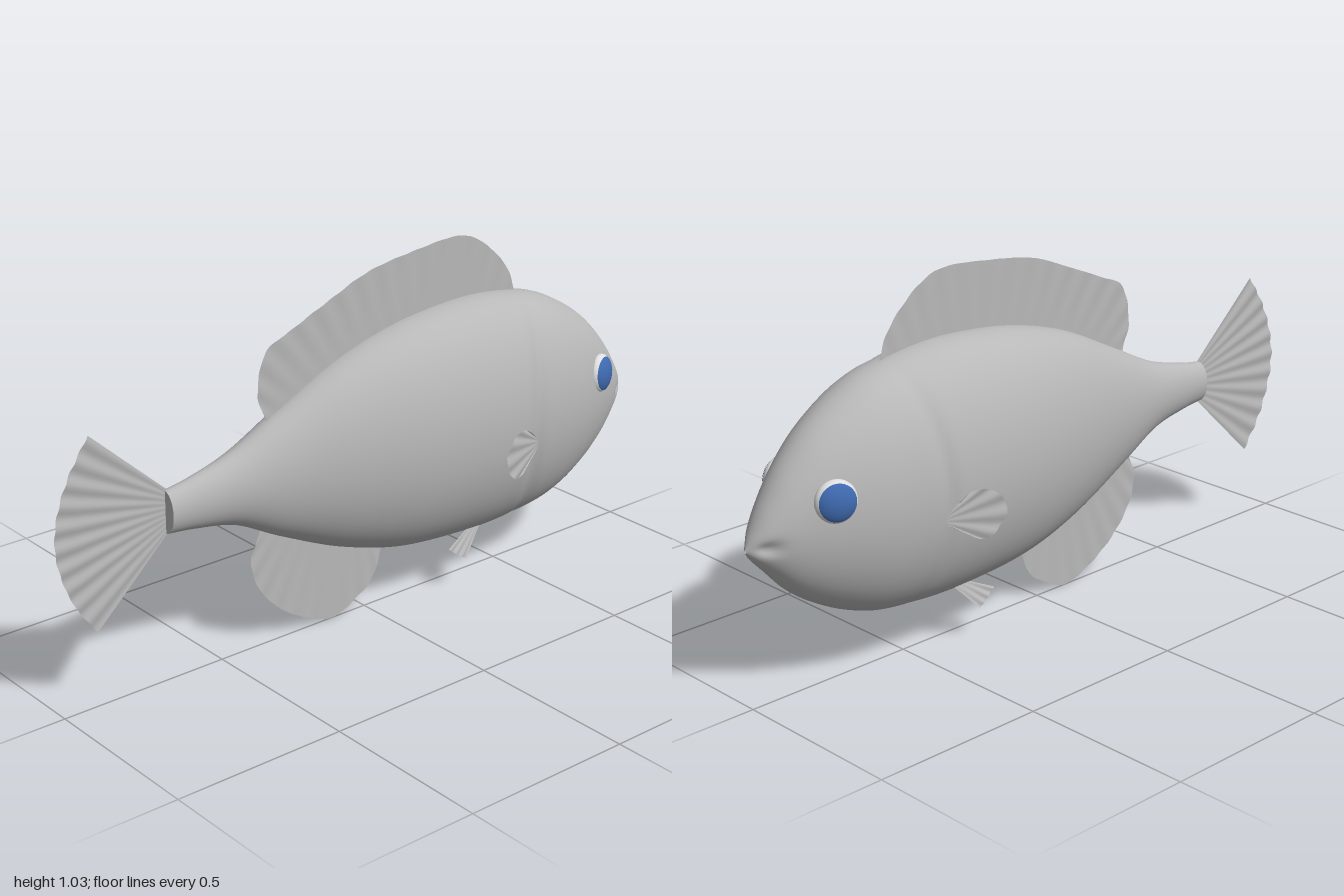
import * as THREE from 'three';

const grey = new THREE.MeshStandardMaterial({ color: 0xb8b8b8, side: THREE.DoubleSide });
grey.name = 'scale grey';
const white = new THREE.MeshStandardMaterial({ color: 0xdedede });
white.name = 'eye white';
const blue = new THREE.MeshStandardMaterial({ color: 0x3f6ab0 });
blue.name = 'iris blue';

function mesh(name, geometry, material, parent) {
  const m = new THREE.Mesh(geometry, material);
  m.name = name;
  parent.add(m);
  return m;
}

function indexed(positions, index) {
  const g = new THREE.BufferGeometry();
  g.setAttribute('position', new THREE.Float32BufferAttribute(positions, 3));
  g.setIndex(index);
  g.computeVertexNormals();
  return g;
}

// Body stations: x, top, bottom, half width
const stations = [
  [-0.665, 0.545, 0.425, 0.036], [-0.58, 0.56, 0.415, 0.042], [-0.45, 0.597, 0.387, 0.06],
  [-0.3, 0.67, 0.31, 0.09], [-0.1, 0.765, 0.22, 0.14], [0.1, 0.822, 0.163, 0.178],
  [0.3, 0.845, 0.144, 0.194], [0.45, 0.842, 0.142, 0.192], [0.6, 0.815, 0.156, 0.182],
  [0.7, 0.773, 0.185, 0.164], [0.8, 0.708, 0.235, 0.13], [0.88, 0.629, 0.293, 0.094],
  [0.94, 0.546, 0.357, 0.061], [0.98, 0.477, 0.4, 0.031], [1, 0.437, 0.428, 0.004],
];

const bump = (d, width) => Math.exp(-((d / width) ** 2));

function bodyGeometry() {
  const [top, bottom, width] = [1, 2, 3].map(
    k => new THREE.SplineCurve(stations.map(s => new THREE.Vector2(s[0], s[k]))));
  const rings = 150, sides = 56, pos = [], index = [];
  for (let i = 0; i <= rings; i++) {
    const t = i / rings, x = top.getPoint(t).x;
    const hi = top.getPoint(t).y, lo = bottom.getPoint(t).y, w = width.getPoint(t).y;
    for (let j = 0; j < sides; j++) {
      const a = j / sides * Math.PI * 2;
      const y = (hi + lo) / 2 + (hi - lo) / 2 * Math.cos(a);
      // gill groove and mouth crease
      const gill = 0.055 * bump(x - 0.485 - 0.4 * (y - 0.43) ** 2, 0.022);
      const mouth = 0.3 * bump(y - 0.44, 0.016) * bump(x - 0.965, 0.03);
      pos.push(x, y, w * Math.sin(a) * (1 - gill - mouth));
      if (i < rings) {
        const n = (j + 1) % sides, p = i * sides;
        index.push(p + j, p + n, p + sides + j, p + n, p + sides + n, p + sides + j);
      }
    }
  }
  return indexed(pos, index);
}

// Thin rayed sheet between a root curve and an edge curve
function finGeometry(root, edge, rays, ripple) {
  const curve = pts => new THREE.CatmullRomCurve3(
    pts.map(p => new THREE.Vector3(p[0], p[1], p[2] || 0)), false, 'centripetal');
  const a = curve(root), b = curve(edge), nu = rays * 6, nv = 6, pos = [], index = [];
  for (let i = 0; i <= nu; i++) {
    const u = i / nu, p = a.getPointAt(u), q = b.getPointAt(u);
    for (let j = 0; j <= nv; j++) {
      const v = p.clone().lerp(q, j / nv);
      pos.push(v.x, v.y, v.z + ripple * Math.sin(u * rays * Math.PI * 2) * (j / nv));
      if (i < nu && j < nv) {
        const k = i * (nv + 1) + j, m = k + nv + 1;
        index.push(k, m, k + 1, k + 1, m, m + 1);
      }
    }
  }
  return indexed(pos, index);
}

// Eye, pectoral fin and pelvic fin of one side
function sideParts(name) {
  const side = new THREE.Group();
  side.name = name;

  const eye = new THREE.Group();
  eye.name = 'eye';
  eye.position.set(0.803, 0.545, 0.116);
  eye.lookAt(0.803 + 0.34, 0.545 + 0.08, 0.116 + 0.93);
  side.add(eye);
  const ball = new THREE.SphereGeometry(0.057, 32, 20);
  mesh('eyeball', ball, white, eye).scale.z = 0.5;
  const cap = new THREE.SphereGeometry(0.058, 32, 10, 0, Math.PI * 2, 0, 1.03).rotateX(Math.PI / 2);
  mesh('iris', cap, blue, eye).scale.z = 0.52;

  const z = x => 0.18 + (0.49 - x) * 0.3;
  const onFan = ([x, y]) => [x, y, z(x)];
  mesh('pectoralFin', finGeometry(
    [[0.49, 0.445], [0.495, 0.425], [0.49, 0.405]].map(onFan),
    [[0.47, 0.462], [0.41, 0.493], [0.36, 0.478], [0.33, 0.437], [0.338, 0.395],
      [0.39, 0.352], [0.46, 0.39]].map(onFan), 6, 0.003), grey, side);

  mesh('pelvicFin', finGeometry(
    [[0.33, 0.172, 0.07], [0.355, 0.17, 0.07], [0.375, 0.165, 0.07]],
    [[0.245, 0.132, 0.085], [0.275, 0.108, 0.09], [0.305, 0.09, 0.094]], 3, 0.002), grey, side);
  return side;
}

export function createModel() {
  const fish = new THREE.Group();
  fish.name = 'fish';

  mesh('body', bodyGeometry(), grey, fish);
  const end = mesh('tailStump', new THREE.CircleGeometry(1, 40), grey, fish);
  end.rotation.y = -Math.PI / 2;
  end.scale.set(0.036, 0.06, 1);
  end.position.set(-0.665, 0.485, 0);

  mesh('dorsalFin', finGeometry(
    [[-0.335, 0.64], [-0.1, 0.74], [0.1, 0.8], [0.3, 0.82], [0.45, 0.81], [0.55, 0.79]],
    [[-0.34, 0.66], [-0.362, 0.73], [-0.332, 0.845], [-0.25, 0.885], [-0.12, 0.94],
      [0.01, 0.99], [0.17, 1.016], [0.35, 1.026], [0.425, 0.995], [0.525, 0.9], [0.56, 0.82]],
    16, 0.0015), grey, fish);

  mesh('analFin', finGeometry(
    [[-0.36, 0.35], [-0.22, 0.29], [-0.08, 0.23], [0.06, 0.18]],
    [[-0.375, 0.315], [-0.395, 0.267], [-0.375, 0.18], [-0.295, 0.085], [-0.175, 0.016],
      [-0.107, 0.001], [-0.043, 0.027], [0.027, 0.075], [0.066, 0.165]],
    10, 0.0015), grey, fish);

  mesh('tailFin', finGeometry(
    [[-0.65, 0.54], [-0.65, 0.485], [-0.65, 0.435]],
    [[-0.887, 0.757], [-0.95, 0.66], [-0.987, 0.57], [-1, 0.485], [-0.987, 0.4],
      [-0.95, 0.305], [-0.887, 0.212]], 10, 0.003), grey, fish);

  // The model faces +x, so its flanks are mirrored across z
  fish.add(sideParts('nearSide'));
  const far = sideParts('farSide');
  far.scale.z = -1;
  fish.add(far);
  return fish;
}
